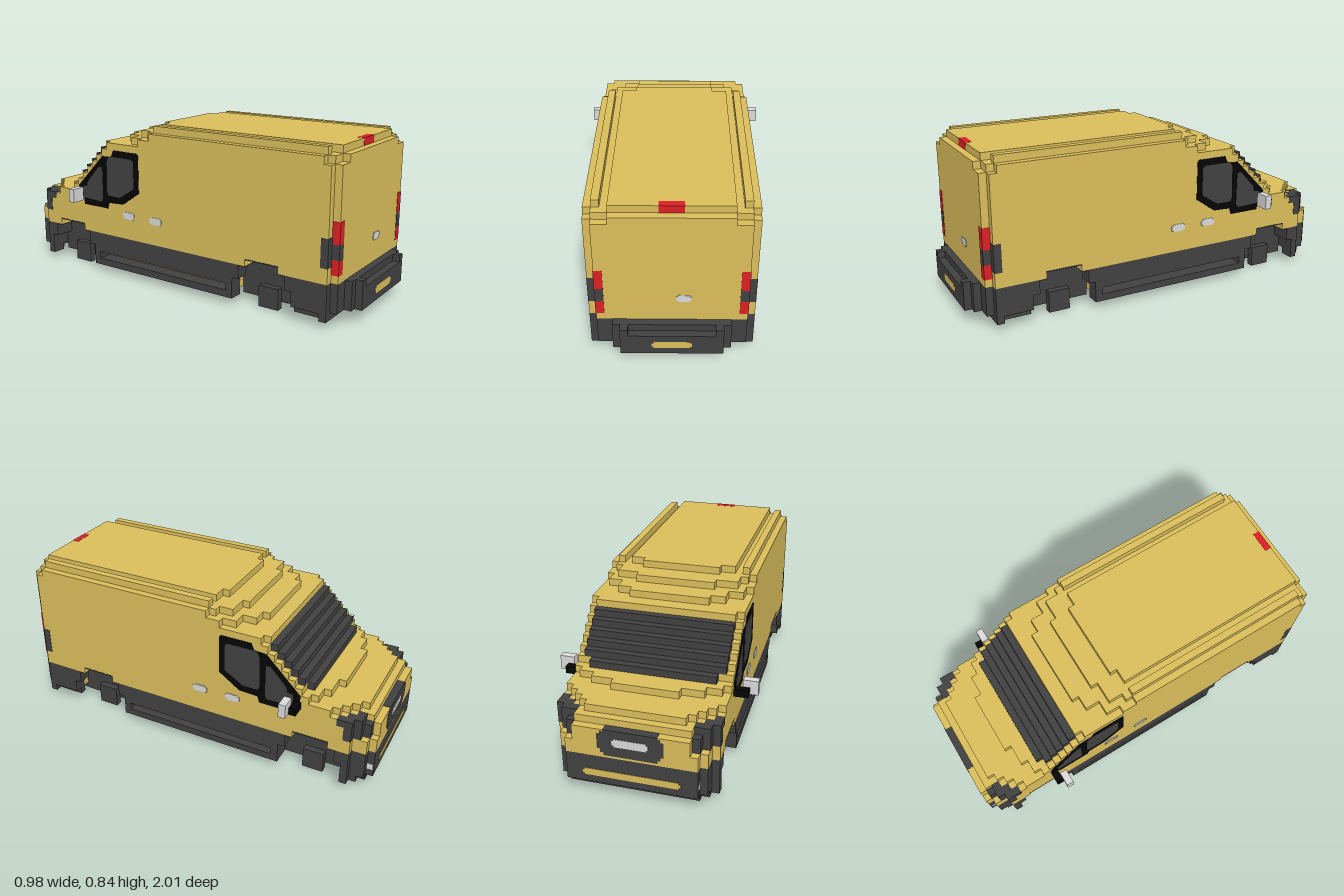
import * as THREE from 'three';

const V = 2 / 55; // one block of the stepped grid
const mat = (name, color) => Object.assign(new THREE.MeshStandardMaterial({ color }), { name });

export function createModel() {
  const yellow = mat('van yellow', 0xdabe5b);
  const dark = mat('dark grey trim', 0x414142);
  const black = mat('black rubber', 0x050505);
  const silver = mat('silver', 0xdadada);
  const red = mat('lamp red', 0xdb2025);
  const van = new THREE.Group();
  van.name = 'van';

  const part = (name) => {
    const g = new THREE.Group();
    g.name = name;
    van.add(g);
    return g;
  };
  // Box given in blocks: x from the centre line, y from the ground, z from the nose; e swells it slightly
  const box = (g, m, x0, x1, y0, y1, z0, z1, e = 0) => {
    const mesh = new THREE.Mesh(new THREE.BoxGeometry((x1 - x0) * V + 2 * e, (y1 - y0) * V + 2 * e, (z1 - z0) * V + 2 * e), m);
    mesh.position.set((x0 + x1) / 2 * V, (y0 + y1) / 2 * V, (z0 + z1) / 2 * V - 1);
    mesh.name = g.name;
    g.add(mesh);
  };
  const pair = (g, m, x0, x1, ...r) => {
    box(g, m, x0, x1, ...r);
    box(g, m, -x1, -x0, ...r);
  };
  // Plate with notched corners facing front or back
  const pill = (g, m, x0, x1, y0, y1, z0, z1, e) => {
    box(g, m, x0, x1, y0 + 0.25, y1 - 0.25, z0, z1, e);
    box(g, m, x0 + 0.25, x1 - 0.25, y0, y1, z0, z1, e);
  };

  // Yellow body in stepped layers: [bottom, top, [half width, front, rear], ...]
  const body = part('body');
  const layers = [
    [6, 7, [7.5, 0, 53]],
    [7, 8, [8.5, 0, 53], [9.5, 1, 53], [10.5, 3, 52]],
    [8, 10, [7.5, 0, 53], [8.5, 1, 53], [9.5, 2, 53], [10.5, 3, 52]],
    [10, 11, [7.5, 1, 53], [9.5, 2, 53], [10.5, 3, 52]],
    [11, 12, [6.5, 2, 53], [7.5, 3, 53], [8.5, 4, 53], [9.5, 5, 53], [10.5, 6, 52]],
    [12, 13, [4.5, 6, 53], [7.5, 7, 53], [9.5, 8, 53], [10.5, 9, 52]],
    [19, 20, [9.5, 15, 53], [10.5, 16, 52]],
    [20, 21, [5.5, 17, 53], [7.5, 18, 53], [9.5, 20, 53], [10.5, 22, 52]],
    [21, 22, [5.5, 20, 53], [7.5, 21, 53], [8.5, 21, 52], [9.5, 23, 52], [10.5, 24, 51]],
    [22, 23, [5.5, 23, 52], [7.5, 24, 52]],
  ];
  for (let j = 13; j < 19; j++) layers.push([j, j + 1, [9.5, j - 3, 53], [10.5, j - 3, 52]]);
  for (const [y0, y1, ...spans] of layers)
    for (const [h, z0, z1] of spans) box(body, yellow, -h, h, y0, y1, z0, z1);
  // Lowest body layer is cut away over the wheels
  for (const [x0, x1, z0, z1] of [[7.5, 8.5, 0, 6], [8.5, 9.5, 1, 6], [9.5, 10.5, 3, 6],
    [7.5, 10.5, 11, 40], [7.5, 10.5, 45, 52], [7.5, 9.5, 52, 53]]) pair(body, yellow, x0, x1, 6, 7, z0, z1);
  pair(part('roofRail'), yellow, 8.5, 9.5, 22, 23, 24, 51);

  // Raked windscreen, one row of blocks per layer
  const screen = part('windscreen');
  for (let j = 13; j < 19; j++) {
    const h = j === 13 ? 8.5 : 9.5;
    box(screen, dark, -h, h, j, j + 1, j - 4, j - 3);
  }

  // Dark skirt with stepped wheel openings and a long slot that shows the floor edge
  const axles = [8.5, 42.5];
  const skirt = part('skirt');
  for (const [y0, y1, gap] of [[4, 6, 3.5], [3, 4, 4.5]]) {
    pair(skirt, dark, 7.5, 10.5, y0, y1, 3, axles[0] - gap);
    pair(skirt, dark, 8.5, 10.5, y0, y1, axles[0] + gap, axles[1] - gap);
    pair(skirt, dark, 8.5, 10.5, y0, y1, axles[1] + gap, 52);
  }
  for (const [z0, z1] of [[3, 4], [13, 14], [37, 38], [47, 52]]) pair(skirt, dark, 8.5, 10.5, 2, 3, z0, z1);
  for (const [z0, z1] of [[3, 4], [47, 52]]) pair(skirt, dark, 8.5, 9.5, 1, 2, z0, z1);
  pair(skirt, dark, 8.5, 10.5, 1, 2, 13, 38);
  const floor = part('floor');
  box(floor, yellow, -8.5, 8.5, 2, 3, 13, 38);
  pair(floor, yellow, 7.5, 8.5, 2, 6, 47, 51);
  box(floor, yellow, -7.5, 7.5, 2, 6, 50.5, 51);

  // Bumpers
  const front = part('frontBumper');
  for (const [h, z0, z1] of [[8.5, 0, 2], [9.5, 1, 3], [10.5, 3, 4]]) box(front, dark, -h, h, 2, 6, z0, z1);
  box(front, dark, -8.5, 8.5, 1, 2, 1, 2);
  pair(front, dark, 7.5, 9.5, 1, 2, 2, 3);
  pair(front, dark, 9.5, 10.5, 1, 2, 3, 4);
  const rear = part('rearBumper');
  for (const [h, z] of [[10.5, 52], [9.5, 53], [7.5, 54]]) box(rear, dark, -h, h, 2, 6, 51, z);
  box(rear, dark, -6.5, 6.5, 2, 5, 54, 55);
  pair(rear, dark, 5.5, 6.5, 5, 6, 54, 55);
  box(rear, dark, -10.5, 10.5, 1, 2, 51, 52);

  // Recessed wheel wells with the wheel mounts inside
  const well = part('wheelWell');
  const mount = part('wheelMount');
  for (const c of axles) {
    pair(well, dark, 6.5, 7.55, 1, 6, c - 4.5, c + 4.5);
    pair(well, dark, 6.5, 7.55, 6, 7, c - 2.5, c + 2.5);
    pair(well, dark, 7.5, 10.5, 6.9, 7, c - 2.5, c + 2.5, 0.001);
    for (const s of [-3, 3]) pair(well, dark, 7.5, 10.5, 5.9, 6, c + s - 0.5, c + s + 0.5);
    pair(mount, dark, 7.5, 8.5, 0, 3, c - 1.5, c + 1.5);
    pair(mount, dark, 4.5, 5.5, 0, 3, c - 1.5, c + 1.5);
    box(mount, dark, -8, 8, 1, 2, c - 0.5, c + 0.5);
    box(mount, dark, -1.5, 1.5, 0, 2, c - 1.5, c + 1.5);
  }

  // Ladder frame below the floor
  const chassis = part('chassis');
  pair(chassis, dark, 4.5, 5.5, 1, 2, 3, 51);
  box(chassis, dark, -0.5, 0.5, 1, 2, 8, 42);
  for (const z of [13, 20, 27, 34]) box(chassis, dark, -8.5, 8.5, 1, 2, z, z + 1);
  for (const z of [5, 47]) box(chassis, dark, -7.5, 7.5, 1, 2, z, z + 1);

  // Grille with silver bar and yellow bumper inserts
  const grille = part('grille');
  for (const [h, y0, y1] of [[3.4, 6.4, 10], [3.8, 6.8, 9.7], [4.2, 7.3, 9.3]]) box(grille, dark, -h, h, y0, y1, 0, 1, 0.002);
  pill(part('grilleBar'), silver, -2.2, 2.2, 7.9, 8.8, 0, 0.5, 0.004);
  pill(part('frontBumperInsert'), yellow, -6.3, 6.3, 3.05, 3.9, 0, 0.5, 0.002);
  pill(part('rearBumperInsert'), yellow, -2.5, 2.5, 3, 4, 54.5, 55, 0.001);

  // Lamps: each headlight steps back around the corner
  const head = part('headlight');
  for (const i of [0, 1, 2]) {
    const x = 7.5 + i;
    pair(head, dark, x, x + 1, 8.1, i ? 11 : 10, 1 + i, 2 + i, 0.002);
    pair(head, dark, x, x + 1, 10.1, 11, 2 + i, 3 + i, 0.002);
  }
  pair(part('fogLamp'), silver, 8, 8.5, 3.1, 3.9, 0.2, 0.9, 0.002);
  const tail = part('tailLamp');
  pair(tail, red, 8.5, 9.5, 7.1, 9, 52, 53, 0.002);
  pair(tail, dark, 8.5, 9.5, 9, 11, 52, 53, 0.002);
  pair(tail, red, 8.5, 9.5, 11, 13.9, 52, 53, 0.002);
  pair(part('sideMarker'), dark, 9.5, 10.5, 8.1, 11.9, 51, 52, 0.001);
  box(part('brakeLamp'), red, -1.5, 1.5, 22, 23, 51.1, 52, 0.001);

  // Door handles
  const handle = part('doorHandle');
  for (const z of [19, 24]) {
    pair(handle, silver, 10, 10.5, 9.3, 9.8, z, z + 2, 0.003);
    pair(handle, silver, 10, 10.5, 9.1, 10, z + 0.25, z + 1.75, 0.003);
  }
  pill(handle, silver, 0.6, 2.4, 9.1, 10, 52.5, 53, 0.003);

  // Mirrors on short arms
  pair(part('mirrorArm'), black, 10.5, 12.4, 11, 12, 10, 11);
  pair(part('mirror'), silver, 11.5, 13.5, 11, 13, 11, 12);

  // Side windows as thin plates, points are [z, y]
  const windows = part('sideWindow');
  const plate = (m, pts, out) => {
    const shape = new THREE.Shape(pts.map(([z, y]) => new THREE.Vector2(-z, y)));
    const geo = new THREE.ExtrudeGeometry(shape, { depth: 0.004, bevelEnabled: false });
    for (const s of [1, -1]) {
      const g = geo.clone().rotateY(Math.PI / 2);
      g.translate(s * (10.5 * V + out) - 0.002, 0, 0);
      const mesh = new THREE.Mesh(g, m);
      mesh.name = 'sideWindow';
      windows.add(mesh);
    }
  };
  plate(black, [[-.2, .48], [-.2, .68], [-.21, .69], [-.37, .69], [-.385, .655], [-.45, .65], [-.63, .47], [-.63, .41],
    [-.595, .4], [-.59, .367], [-.42, .367], [-.41, .4], [-.31, .405]], 0);
  plate(dark, [[-.232, .5], [-.232, .645], [-.245, .655], [-.4, .655], [-.415, .63], [-.42, .46], [-.41, .44], [-.33, .44]], 0.002);
  plate(dark, [[-.45, .42], [-.45, .59], [-.475, .59], [-.56, .5], [-.565, .475], [-.595, .47], [-.595, .405], [-.46, .4]], 0.002);

  return van;
}
